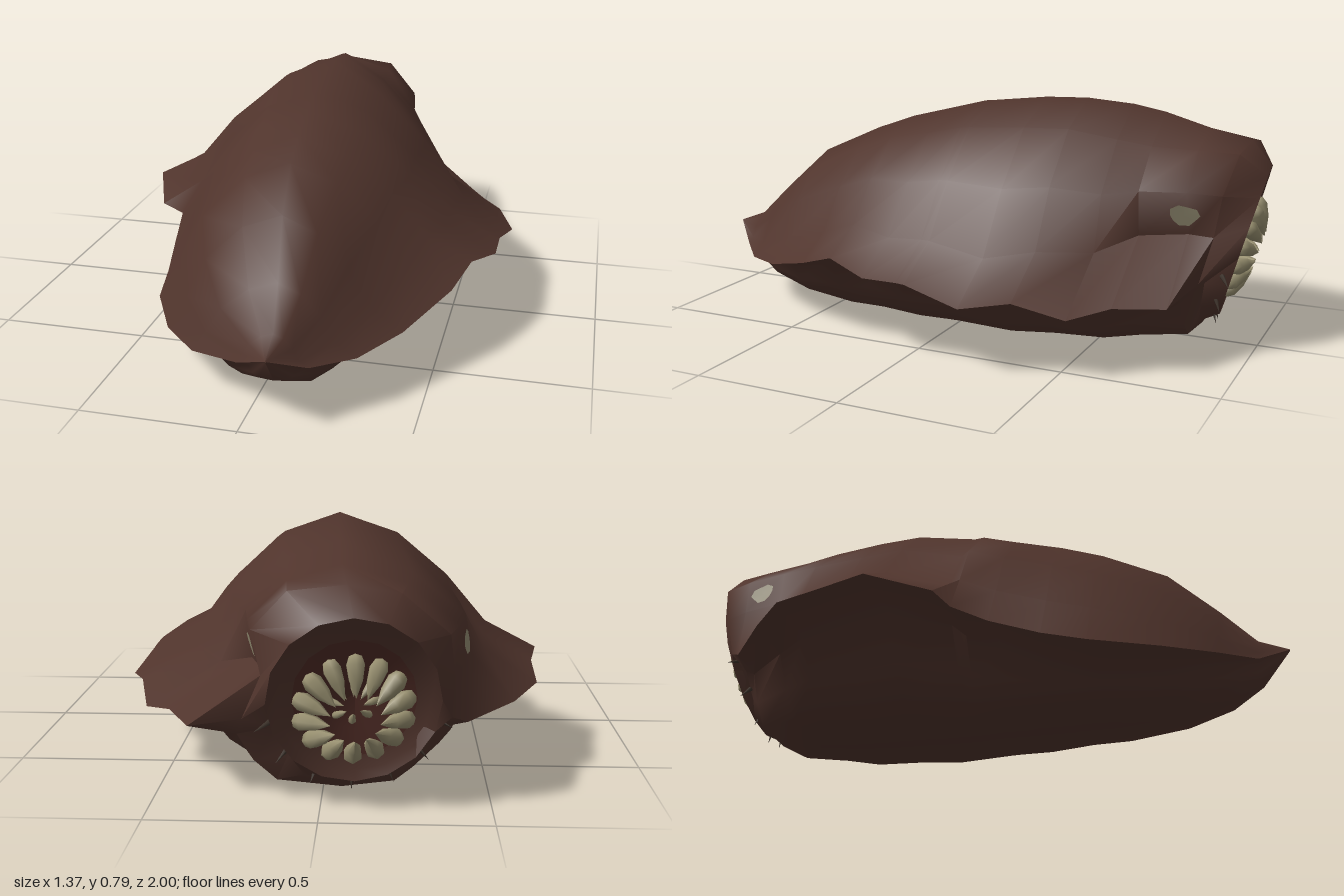
import * as THREE from 'three';
import { toCreasedNormals } from 'three/addons/utils/BufferGeometryUtils.js';

const mat = (name, color, side = THREE.FrontSide) => {
  const m = new THREE.MeshStandardMaterial({ color, side });
  m.name = name;
  return m;
};

// Cross-sections: z, left hem x/y, right hem x/y, ridge x/y, belly y, head roundness
const STATIONS = [
  [1.00, 0.088, 0.24, 0.092, 0.24, 0.09, 0.242, 0.237, 0],
  [0.90, -0.03, 0.17, 0.19, 0.18, 0.085, 0.28, 0.125, 0],
  [0.79, -0.21, 0.13, 0.31, 0.17, 0.07, 0.39, 0.065, 0],
  [0.63, -0.35, 0.115, 0.42, 0.19, 0.04, 0.54, 0.02, 0],
  [0.42, -0.46, 0.118, 0.54, 0.25, 0.01, 0.635, 0, 0],
  [0.28, -0.48, 0.15, 0.585, 0.295, 0, 0.685, 0, 0],
  [0.12, -0.51, 0.20, 0.65, 0.265, -0.01, 0.725, 0, 0],
  [0.00, -0.525, 0.26, 0.65, 0.265, -0.02, 0.755, 0, 0],
  [-0.03, -0.61, 0.28, 0.65, 0.263, -0.02, 0.758, 0, 0],
  [-0.23, -0.69, 0.33, 0.68, 0.22, -0.03, 0.78, 0, 0],
  [-0.38, -0.66, 0.32, 0.62, 0.24, -0.03, 0.785, 0.005, 0.1],
  [-0.54, -0.66, 0.29, 0.575, 0.195, -0.04, 0.772, 0.01, 0.4],
  [-0.65, -0.58, 0.26, 0.48, 0.22, -0.05, 0.75, 0.02, 0.85],
  [-0.80, -0.43, 0.24, 0.40, 0.215, -0.06, 0.705, 0.035, 1],
  [-0.86, -0.38, 0.27, 0.23, 0.255, -0.08, 0.67, 0.055, 0.9],
];
// Half profiles: fraction of hem width, fraction of height
const UPPER = [[0.74, 0.2], [0.54, 0.55], [0.29, 0.86]];
const UPPER_FULL = [[0.83, 0.28], [0.65, 0.6], [0.33, 0.88]];
const UNDER = [[0.68, 0.88], [0.57, 0.43], [0.42, 0.1]];
// Upright walls of the head, from cheek to crown
const HEAD_LEFT = [[-0.41, 0.41], [-0.4, 0.53], [-0.25, 0.65]];
const HEAD_RIGHT = [[0.18, 0.4], [0.215, 0.54], [0.1, 0.655]];

function section([z, xl, yl, xr, yr, cx, top, bot, round]) {
  const mix = (a, b) => a + (b - a) * round;
  const taper = 1 + 0.7 * (z + 0.8);
  const up = (profile, hx, hy, head) => profile.map(([t, h], i) =>
    [mix(cx + (hx - cx) * t, head[i][0] * taper), mix(hy + (top - hy) * h, head[i][1]), z]);
  const down = (hx, hy) => UNDER.map(([t, h]) => [cx + (hx - cx) * t, bot + (hy - bot) * h, z]);
  const shear = z < -0.85 ? 0.2 : 0;
  return [
    [xl, yl, z], ...up(z >= 0 ? UPPER_FULL : UPPER, xl, yl, HEAD_LEFT), [cx, top, z],
    ...up(UPPER, xr, yr, HEAD_RIGHT).reverse(), [xr, yr, z],
    ...down(xr, yr), [cx, bot, z], ...down(xl, yl).reverse(),
  ].map(([x, y]) => [x, y, z - shear * (y - 0.3)]);
}

// Tilted oval ring around the mouth, with the same point count as a section
function mouthRing(scale, depth) {
  return Array.from({ length: 16 }, (_, i) => {
    const a = Math.PI - (i / 16) * Math.PI * 2;
    const dx = 0.25 * scale * Math.cos(a), dy = 0.26 * scale * Math.sin(a);
    return [-0.1 + dx, 0.33 + dy, -0.925 + depth - 0.28 * dy - 0.12 * dx];
  });
}

function loft(rings, crease) {
  const n = rings[0].length, idx = [];
  for (let i = 0; i < rings.length - 1; i++) {
    for (let j = 0; j < n; j++) {
      const a = i * n + j, b = i * n + ((j + 1) % n);
      idx.push(a, b, a + n, b, b + n, a + n);
    }
  }
  const g = new THREE.BufferGeometry();
  g.setAttribute('position', new THREE.Float32BufferAttribute(rings.flat(2), 3));
  g.setIndex(idx);
  return toCreasedNormals(g, crease);
}

export function createModel() {
  const model = new THREE.Group();
  model.name = 'creature';
  const hide = mat('brown hide', 0x50342c, THREE.DoubleSide);
  const flesh = mat('mouth flesh', 0x4e2b25, THREE.DoubleSide);
  const bone = mat('bone', 0x989070);
  const eyeMat = mat('pale eye', 0x918a70, THREE.DoubleSide);
  const spikeMat = mat('dark spike', 0x3b3129);

  const add = (parent, name, geo, material) => {
    const m = new THREE.Mesh(geo, material);
    m.name = name;
    parent.add(m);
    return m;
  };

  // Body with hem, belly and the inward-turned lip
  const rings = [...STATIONS.map(section), mouthRing(1, 0), mouthRing(0.88, 0.02), mouthRing(0.72, 0.035)];
  const body = add(model, 'body', loft(rings, 1.05), hide);
  add(model, 'throat', loft([mouthRing(0.72, 0.035), mouthRing(0.4, 0.06), mouthRing(0.01, 0.09)], 1.0), flesh);

  // Eyes: thin patches laid on the hide
  const ray = new THREE.Raycaster();
  const eye = (name, side, cy, cz) => {
    const hit = (y, z) => {
      ray.set(new THREE.Vector3(side * 2, y, z), new THREE.Vector3(-side, 0, 0));
      return [ray.intersectObject(body)[0].point.x + side * 0.007, y, z];
    };
    const pts = [hit(cy, cz)], idx = [], n = 10;
    for (let i = 0; i < n; i++) {
      const a = (i / n) * Math.PI * 2, r = i % 3 ? 1 : 0.82;
      pts.push(hit(cy + 0.036 * r * Math.sin(a), cz + 0.05 * r * Math.cos(a)));
      const p = i + 1, q = ((i + 1) % n) + 1;
      idx.push(...(side > 0 ? [0, q, p] : [0, p, q]));
    }
    const g = new THREE.BufferGeometry();
    g.setAttribute('position', new THREE.Float32BufferAttribute(pts.flat(), 3));
    g.setIndex(idx);
    g.computeVertexNormals();
    add(model, name, g, eyeMat);
  };
  eye('leftEye', 1, 0.465, -0.79);
  eye('rightEye', -1, 0.465, -0.73);

  // Mouth frame: local +z looks out of the mouth
  const mouth = new THREE.Group();
  mouth.name = 'mouth';
  mouth.position.set(-0.1, 0.33, -0.925);
  mouth.lookAt(-0.22, 0.05, -1.925);
  model.add(mouth);

  const Y = new THREE.Vector3(0, 1, 0);
  const spike = (name, geo, material, from, to) => {
    const m = add(mouth, name, geo, material);
    m.position.copy(from).lerp(to, 0.5);
    m.quaternion.setFromUnitVectors(Y, to.clone().sub(from).normalize());
  };
  const polar = (a, r, z, drop) => new THREE.Vector3(r * Math.cos(a), r * Math.sin(a) - drop, z);

  // Rings of teeth: blunt root outside, sharp tip leaning in and out
  const tooth = (len, w) => new THREE.LatheGeometry(
    [[0, -0.5], [0.7, -0.44], [1, -0.25], [0.75, 0.1], [0, 0.5]].map(([r, y]) => new THREE.Vector2(r * w, y * len)), 6);
  const big = tooth(0.125, 0.029), small = tooth(0.06, 0.012);
  for (let i = 0; i < 14; i++) {
    const a = (i / 14) * Math.PI * 2 + Math.PI / 2;
    spike('outerTooth', big, bone, polar(a, 0.172, -0.015, 0.025), polar(a, 0.075, 0.05, 0.025));
  }
  for (let i = 0; i < 8; i++) {
    const a = (i / 8) * Math.PI * 2;
    spike('innerTooth', small, bone, polar(a, 0.075, -0.05, 0.02), polar(a, 0.03, -0.02, 0.02));
  }

  // Small bristles along the chin
  const bristle = new THREE.ConeGeometry(0.009, 0.06, 5);
  for (let i = 0; i < 7; i++) {
    const a = -Math.PI / 2 + (i - 3) * 0.42;
    spike('chinBristle', bristle, spikeMat, polar(a, 0.25, -0.03, 0), polar(a, 0.3, 0, 0));
  }
  return model;
}
